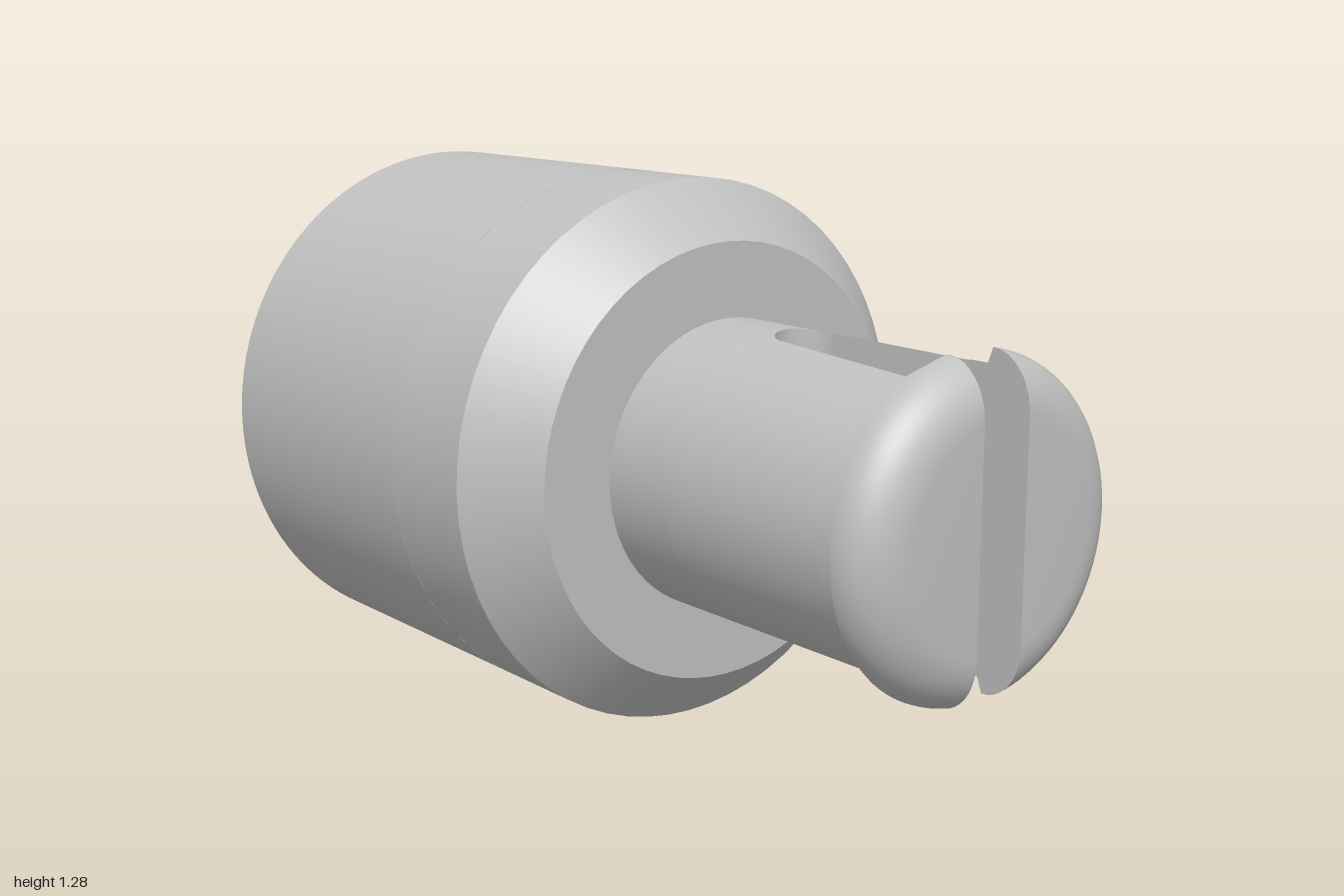
import * as THREE from 'three';
import { toCreasedNormals } from 'three/addons/utils/BufferGeometryUtils.js';

const SEG = 64;
const R_BODY = 0.64, R_SHAFT = 0.335, R_HEAD = 0.368;
const Z_BACK = -1, Z_SOCKET = -0.25, Z_SHOULDER = 0.015, Z_FACE = 0.155, Z_SLOT = 0.355;

// Solid of revolution about z; profile is [radius, z] from back to front
function turned(profile) {
  const g = new THREE.LatheGeometry(profile.map(([r, z]) => new THREE.Vector2(r, z)), SEG);
  return toCreasedNormals(g.rotateX(Math.PI / 2), 0.5);
}

// One prong: circular segments x >= w of radius r, lofted through stations [z, r, w]
function prongGeometry(stations, n = 40) {
  const pos = [], idx = [];
  for (const [z, r, w] of stations) {
    const a = Math.acos(w / r);
    for (let j = 0; j <= n; j++) {
      const t = -a + (2 * a * j) / n;
      pos.push(r * Math.cos(t), r * Math.sin(t), z);
    }
  }
  const m = n + 1;
  for (let k = 0; k < stations.length - 1; k++) {
    for (let j = 0; j < m; j++) {
      const a = k * m + j, b = k * m + ((j + 1) % m);
      idx.push(a, b, b + m, a, b + m, a + m);
    }
  }
  // flat front end
  const last = (stations.length - 1) * m;
  for (let j = 1; j < n; j++) idx.push(last, last + j, last + j + 1);
  const g = new THREE.BufferGeometry();
  g.setAttribute('position', new THREE.Float32BufferAttribute(pos, 3));
  g.setIndex(idx);
  return toCreasedNormals(g, 0.5);
}

export function createModel() {
  const model = new THREE.Group();
  const grey = new THREE.MeshStandardMaterial({ color: 0xc0c0c0 });
  grey.name = 'grey';
  const add = (name, geometry) => {
    const mesh = new THREE.Mesh(geometry, grey);
    mesh.name = name;
    mesh.position.y = R_BODY;
    model.add(mesh);
    return mesh;
  };

  // Rear of the body with a square socket
  const ring = new THREE.Shape().absarc(0, 0, R_BODY, 0, Math.PI * 2, false);
  const s = 0.26;
  ring.holes.push(new THREE.Path([[-s, -s], [-s, s], [s, s], [s, -s]].map(p => new THREE.Vector2(...p))));
  const rear = new THREE.ExtrudeGeometry(ring, {
    depth: Z_SOCKET - Z_BACK, bevelEnabled: false, curveSegments: SEG,
  }).translate(0, 0, Z_BACK);
  add('socketBody', toCreasedNormals(rear, 0.5));

  // Socket floor, solid front of the body and chamfer
  add('frontBody', turned([
    [0, Z_SOCKET], [R_BODY, Z_SOCKET], [R_BODY, Z_SHOULDER], [0.508, Z_FACE], [0, Z_FACE],
  ]));

  // Unslotted root of the shaft
  add('shaftRoot', turned([[R_SHAFT, Z_FACE], [R_SHAFT, Z_SLOT]]));

  // Prong stations: round slot end, widening slot, step, then the domed lip
  const stations = [];
  const e = 0.078;
  for (let i = 0; i <= 10; i++) {
    const t = (i / 10) * Math.PI / 2;
    stations.push([Z_SLOT + e * (1 - Math.cos(t)), R_SHAFT, e * Math.sin(t)]);
  }
  stations.push([0.835, R_SHAFT, 0.115], [0.835, R_SHAFT, 0.064], [0.885, R_SHAFT, 0.064]);
  for (let i = 0; i <= 10; i++) {
    const t = (i / 10) * Math.PI / 2;
    stations.push([0.898 + 0.102 * Math.sin(t), R_HEAD - 0.12 * (1 - Math.cos(t)), 0.064]);
  }
  const prong = prongGeometry(stations);
  add('leftProng', prong);
  add('rightProng', prong).rotation.z = Math.PI;

  return model;
}
